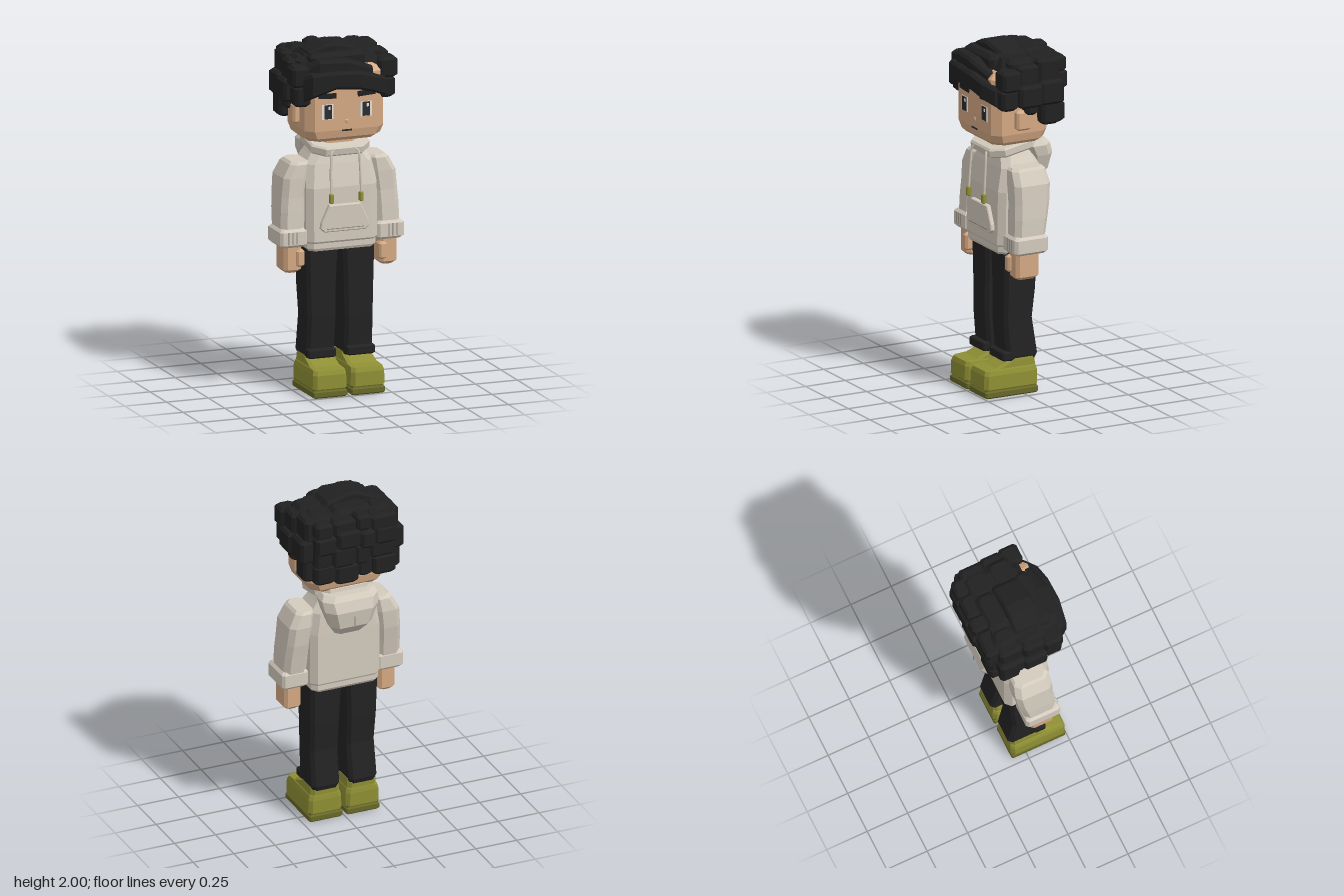
import * as THREE from 'three';

const mat = (name, color) => Object.assign(new THREE.MeshStandardMaterial({ color }), { name });

// Stack of chamfered rectangles: each section is [y, x0, x1, z0, z1, chamfer]; s = -1 mirrors in x
function loft(sections, s = 1) {
  const rings = sections.map(([y, p, q, z0, z1, c = 0.02]) => {
    const [a, b] = s > 0 ? [p, q] : [-q, -p];
    return [[b, z1 - c], [b, z0 + c], [b - c, z0], [a + c, z0], [a, z0 + c], [a, z1 - c], [a + c, z1], [b - c, z1]]
      .map(([x, z]) => [x, y, z]);
  });
  const pos = [];
  const tri = (...v) => v.forEach((p) => pos.push(...p));
  for (let k = 0; k + 1 < rings.length; k++) {
    const lo = rings[k], hi = rings[k + 1];
    for (let i = 0; i < 8; i++) {
      const j = (i + 1) % 8;
      tri(lo[i], lo[j], hi[j]);
      tri(lo[i], hi[j], hi[i]);
    }
  }
  const bottom = rings[0], top = rings[rings.length - 1];
  for (let i = 1; i < 7; i++) {
    tri(top[0], top[i], top[i + 1]);
    tri(bottom[0], bottom[i + 1], bottom[i]);
  }
  const g = new THREE.BufferGeometry();
  g.setAttribute('position', new THREE.Float32BufferAttribute(pos, 3));
  g.computeVertexNormals();
  return g;
}

// Box with all edges chamfered
const block = (x0, x1, y0, y1, z0, z1, c = 0.015, s = 1) => loft([
  [y0, x0 + c, x1 - c, z0 + c, z1 - c, c], [y0 + c, x0, x1, z0, z1, c],
  [y1 - c, x0, x1, z0, z1, c], [y1, x0 + c, x1 - c, z0 + c, z1 - c, c]], s);

// Lock of hair running along x: each section is [x, y0, y1, z0, z1]
const sweep = (list) => loft(list.map(([x, y0, y1, z0, z1]) => [x, -y1, -y0, z0, z1, 0.015])).rotateZ(-Math.PI / 2);

const outline = (pts, Type = THREE.Shape) => new Type(pts.map(([x, y]) => new THREE.Vector2(x, y)));
const chamferedRect = (x, y0, y1, c) => [[x, y0 + c], [x, y1 - c], [x - c, y1], [c - x, y1],
  [-x, y1 - c], [-x, y0 + c], [c - x, y0], [x - c, y0]];

export function createModel() {
  const model = new THREE.Group();
  const skin = mat('skin', 0xd6aa84), cloth = mat('hoodie cloth', 0xd4cbbe), seam = mat('seam', 0x8f887e);
  const hair = mat('hair', 0x212122), trousers = mat('trousers', 0x232324);
  const shoe = mat('shoe', 0x8f9034), sole = mat('sole', 0x686928);
  const white = mat('eye white', 0xe6e2dc), iris = mat('iris', 0x2a2d30);
  const add = (name, geometry, material, parent = model) => {
    const m = new THREE.Mesh(geometry, material);
    m.name = name;
    parent.add(m);
    return m;
  };
  const group = (name) => {
    const g = new THREE.Group();
    g.name = name;
    model.add(g);
    return g;
  };

  // Head and neck
  const head = group('head');
  add('skull', loft([[1.455, -0.2, 0.2, -0.12, 0.17, 0.05], [1.475, -0.222, 0.222, -0.14, 0.19, 0.05],
    [1.52, -0.235, 0.235, -0.15, 0.2, 0.045], [1.84, -0.235, 0.235, -0.15, 0.2, 0.045],
    [1.88, -0.2, 0.2, -0.12, 0.16, 0.04]]), skin, head);
  add('neck', block(-0.09, 0.09, 1.34, 1.47, -0.07, 0.09), skin, head);
  add('mouth', new THREE.BoxGeometry(0.06, 0.009, 0.008).translate(0, 1.517, 0.2), iris, head);
  add('nose', block(-0.012, 0.012, 1.56, 1.58, 0.19, 0.206, 0.004), skin, head);

  // Hoodie body, hem, pocket, collar and hood
  const hoodie = group('hoodie');
  add('body', loft([[0.82, -0.195, 0.195, -0.105, 0.14, 0.03], [0.835, -0.205, 0.205, -0.115, 0.148, 0.03],
    [0.865, -0.205, 0.205, -0.115, 0.148, 0.03], [0.875, -0.212, 0.212, -0.12, 0.155, 0.035],
    [1.18, -0.212, 0.212, -0.12, 0.15, 0.035], [1.31, -0.2, 0.2, -0.115, 0.12, 0.04],
    [1.36, -0.165, 0.165, -0.11, 0.105, 0.04], [1.4, -0.14, 0.14, -0.1, 0.09, 0.04]]), cloth, hoodie);
  const pocket = [[-0.14, 0.955], [-0.12, 0.937], [0.12, 0.937], [0.14, 0.955], [0.135, 0.985], [0.09, 1.08], [-0.09, 1.08], [-0.135, 0.985]];
  const pocketShape = outline(pocket);
  add('pocket', new THREE.ExtrudeGeometry(pocketShape, { depth: 0.02, bevelSize: 0.005, bevelThickness: 0.005, bevelSegments: 1 })
    .translate(0, 0, 0.152), cloth, hoodie);
  add('pocketSeam', new THREE.BoxGeometry(0.22, 0.004, 0.004).translate(0, 0.95, 0.177), seam, hoodie);

  const ring = outline(chamferedRect(0.165, -0.155, 0.13, 0.06));
  ring.holes.push(outline(chamferedRect(0.11, -0.1, 0.08, 0.04), THREE.Path));
  const collar = add('collar', new THREE.ExtrudeGeometry(ring,
    { depth: 0.035, bevelSize: 0.01, bevelThickness: 0.01, bevelSegments: 1 }).rotateX(-Math.PI / 2), cloth, hoodie);
  collar.position.y = 1.4;
  collar.rotation.x = 0.19;
  add('hood', loft([[1.185, -0.08, 0.08, -0.155, -0.09, 0.025], [1.25, -0.125, 0.125, -0.215, -0.09, 0.04],
    [1.35, -0.16, 0.16, -0.23, -0.06, 0.05], [1.41, -0.17, 0.17, -0.21, -0.03, 0.05],
    [1.44, -0.15, 0.15, -0.185, -0.05, 0.05]]), cloth, hoodie);
  add('hoodSeam', new THREE.BoxGeometry(0.004, 0.1, 0.004).translate(0, 1.3, -0.223), seam, hoodie).rotation.x = 0;

  for (const s of [-1, 1]) {
    const side = s > 0 ? 'left' : 'right';

    // Face details
    const box = (name, x, y, w, h, z, m) =>
      add(name, new THREE.BoxGeometry(w, h, 0.006).translate(x, y, z), m, head);
    box(side + 'EyeWhite', s * 0.115, 1.63, 0.07, 0.085, 0.2, white);
    box(side + 'Iris', s * 0.114, 1.63, 0.045, 0.08, 0.203, iris);
    box(side + 'EyeGlint', s * 0.114 + 0.008, 1.652, 0.012, 0.018, 0.205, white);
    const brow = box(side + 'Brow', 0, 0, 0.105, 0.03, 0, hair);
    brow.position.set(s * 0.117, 1.722, 0.203);
    brow.rotation.z = s * 0.06;
    add(side + 'Ear', block(0.22, 0.27, 1.545, 1.66, -0.02, 0.075, 0.012, s), skin, head);

    // Drawstrings
    const cord = new THREE.CatmullRomCurve3([[0.06, 1.4, 0.155], [0.08, 1.385, 0.172], [0.087, 1.3, 0.18], [0.09, 1.14, 0.19]]
      .map(([x, y, z]) => new THREE.Vector3(s * x, y, z)));
    add(side + 'Drawstring', new THREE.TubeGeometry(cord, 10, 0.007, 6), cloth, hoodie);
    add(side + 'DrawstringTip', block(0.077, 0.101, 1.1, 1.155, 0.178, 0.204, 0.005, s), shoe, hoodie);

    // Arm, cuff and hand
    const arm = group(side + 'Arm');
    add('sleeve', loft([[0.93, 0.215, 0.355, -0.065, 0.125, 0.03], [1.05, 0.21, 0.352, -0.085, 0.12, 0.03],
      [1.13, 0.205, 0.345, -0.1, 0.115, 0.03], [1.24, 0.19, 0.335, -0.11, 0.115, 0.03],
      [1.315, 0.18, 0.295, -0.1, 0.11, 0.03], [1.33, 0.18, 0.28, -0.085, 0.095, 0.03]], s), cloth, arm);
    add('cuff', block(0.21, 0.37, 0.85, 0.955, -0.07, 0.14, 0.015, s), cloth, arm);
    for (const x of [0.275, 0.3, 0.322])
      add('cuffRib', new THREE.BoxGeometry(0.005, 0.07, 0.004).translate(s * x, 0.905, 0.14), seam, arm);
    add('hand', block(0.235, 0.338, 0.7, 0.87, -0.03, 0.115, 0.018, s), skin, arm);
    add('thumb', block(0.222, 0.272, 0.735, 0.835, 0.06, 0.135, 0.012, s), skin, arm);

    // Trouser leg with turned-up hem
    const leg = group(side + 'Leg');
    add('trouserLeg', loft([[0.19, 0.035, 0.19, -0.085, 0.09], [0.22, 0.03, 0.198, -0.097, 0.097],
      [0.43, 0.027, 0.195, -0.065, 0.115], [0.6, 0.025, 0.2, -0.083, 0.112], [0.83, 0.015, 0.205, -0.092, 0.115]], s), trousers, leg);
    add('trouserHem', block(0.033, 0.2, 0.2, 0.253, 0.06, 0.13, 0.008, s), trousers, leg);

    // Shoe
    const foot = group(side + 'Shoe');
    add('sole', block(0.012, 0.215, 0, 0.042, -0.088, 0.245, 0.008, s), sole, foot);
    add('welt', block(0.02, 0.207, 0.035, 0.06, -0.08, 0.235, 0.004, s), sole, foot);
    add('upper', loft([[0.052, 0.012, 0.215, -0.088, 0.247], [0.13, 0.014, 0.213, -0.088, 0.245],
      [0.155, 0.02, 0.205, -0.084, 0.235], [0.162, 0.024, 0.2, -0.082, 0.165],
      [0.195, 0.026, 0.198, -0.082, 0.085], [0.212, 0.03, 0.195, -0.078, 0.07]], s), shoe, foot);
  }

  // Hair core
  const mop = group('hair');
  add('crown', loft([[1.78, -0.26, 0.26, -0.21, 0.16, 0.04], [1.88, -0.25, 0.25, -0.2, 0.15, 0.04],
    [1.945, -0.2, 0.2, -0.17, 0.11, 0.04]]), hair, mop);
  add('nape', block(-0.25, 0.25, 1.57, 1.84, -0.2, -0.05, 0.03), hair, mop);

  // Fringe and top locks
  add('lowerFringe', sweep([[-0.255, 1.69, 1.83, 0.1, 0.19], [-0.22, 1.72, 1.86, 0.12, 0.245], [-0.08, 1.77, 1.87, 0.12, 0.268],
    [0.06, 1.755, 1.86, 0.12, 0.265], [0.16, 1.725, 1.83, 0.12, 0.248], [0.235, 1.69, 1.8, 0.1, 0.2]]), hair, mop);
  add('upperFringe', sweep([[-0.24, 1.8, 1.88, 0.07, 0.17], [-0.17, 1.83, 1.93, 0.07, 0.225], [0, 1.84, 1.925, 0.07, 0.24],
    [0.155, 1.8, 1.87, 0.07, 0.205]]), hair, mop);
  add('topLock', sweep([[-0.19, 1.89, 1.955, -0.06, 0.105], [-0.1, 1.9, 1.995, -0.055, 0.115], [-0.04, 1.9, 2, -0.055, 0.115],
    [0.09, 1.88, 1.97, -0.065, 0.1], [0.115, 1.87, 1.945, -0.06, 0.09]]), hair, mop);
  [[0.09, 0.25, 1.82, 1.95, -0.04, 0.11], [-0.23, -0.12, 1.82, 1.955, -0.19, -0.05], [0.09, 0.24, 1.82, 1.95, -0.19, -0.03],
    [-0.13, 0.1, 1.86, 1.965, -0.18, -0.05], [-0.26, -0.15, 1.8, 1.93, -0.05, 0.1], [-0.2, 0.13, 1.82, 1.955, 0.06, 0.17]]
    .forEach((b) => add('topTuft', block(...b, 0.022), hair, mop));

  // Side tufts, [y0, y1, z0, z1, outer x], on both sides
  const sideTufts = [[1.67, 1.79, 0.08, 0.185, 0.3], [1.78, 1.9, 0.07, 0.185, 0.314], [1.63, 1.7, -0.05, 0.03, 0.3],
    [1.68, 1.81, -0.06, 0.085, 0.328], [1.79, 1.92, -0.05, 0.08, 0.3], [1.56, 1.7, -0.19, -0.07, 0.295],
    [1.68, 1.82, -0.2, -0.05, 0.315], [1.8, 1.94, -0.19, -0.05, 0.285]];
  for (const s of [-1, 1])
    for (const [y0, y1, z0, z1, x] of sideTufts)
      add('sideTuft', block(0.2, x, y0 + s * 0.006, y1 + s * 0.006, z0, z1, 0.016, s), hair, mop);

  // Rows of tufts down the back, [y0, y1, back z]
  const edges = [-0.25, -0.11, -0.02, 0.12, 0.245];
  [[1.55, 1.67, -0.238], [1.65, 1.775, -0.245], [1.755, 1.865, -0.268], [1.85, 1.945, -0.258]].forEach(([y0, y1, z], r) => {
    for (let i = 0; i < 4; i++) {
      const dy = 0.012 * Math.sin(i * 2.3 + r * 1.7), shift = r % 2 ? 0.02 : 0;
      add('backTuft', block(edges[i] + shift * (i > 0), edges[i + 1] + shift * (i < 3), y0 + dy, y1 + dy,
        z + 0.008 * Math.sin(i * 1.9 + r), -0.15, 0.016), hair, mop);
    }
  });
  return model;
}
